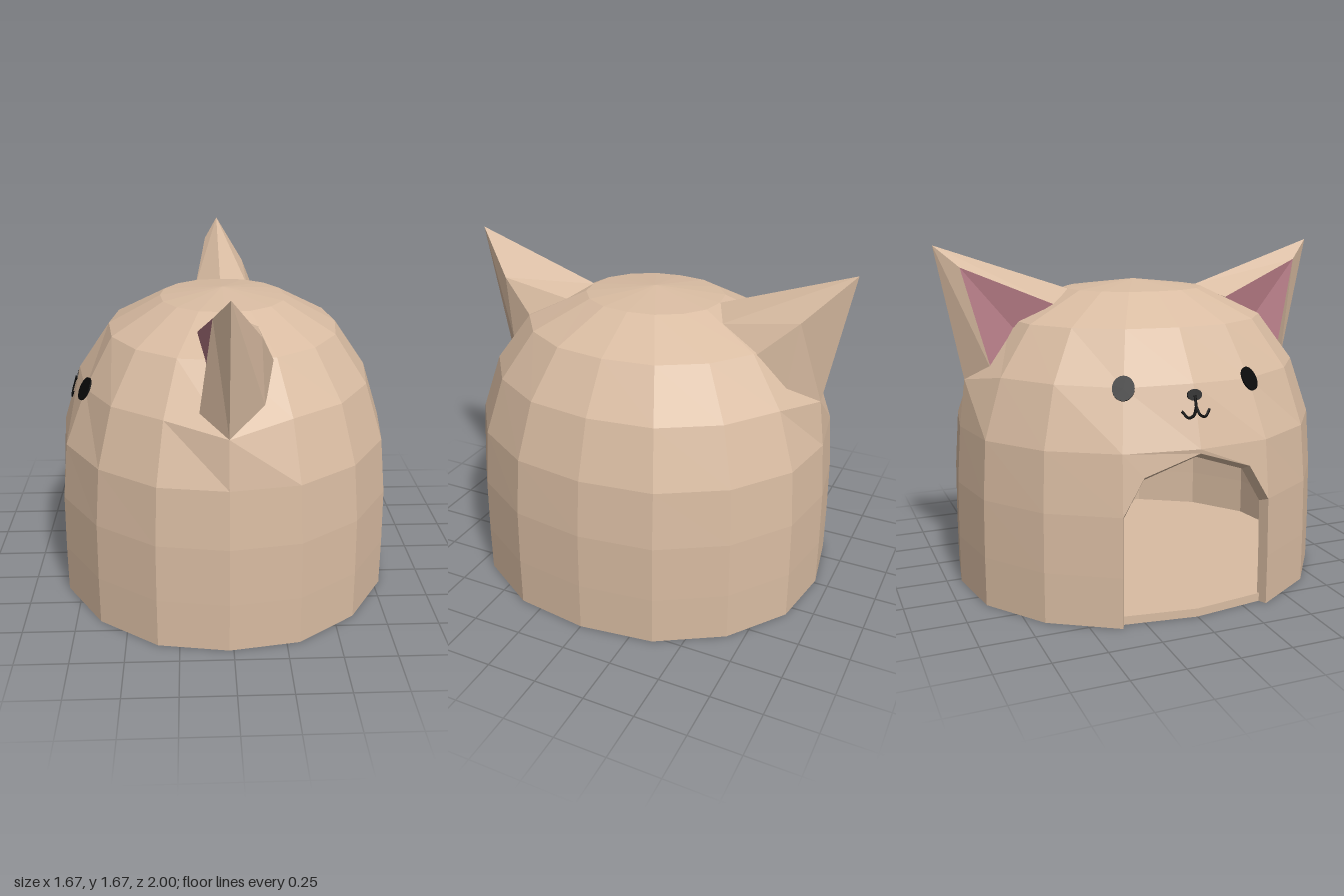
import * as THREE from 'three';

const CX = -0.02, N = 16;
// dome rings: height, radius along x, radius along z
const RINGS = [
  [0, 0.85, 0.93], [0.24, 0.85, 0.93], [0.52, 0.845, 0.925], [0.8, 0.817, 0.905],
  [1.08, 0.728, 0.81], [1.31, 0.57, 0.64], [1.45, 0.31, 0.345], [1.49, 0, 0],
];

const fur = new THREE.MeshStandardMaterial({ color: 0xd9bca2, side: THREE.DoubleSide, flatShading: true });
const pink = new THREE.MeshStandardMaterial({ color: 0xb27882, side: THREE.DoubleSide, flatShading: true });
const black = new THREE.MeshStandardMaterial({ color: 0x0a0a0a, side: THREE.DoubleSide });

// flat-shaded mesh from a list of convex polygons
function polyMesh(name, polys, material) {
  const pos = [];
  for (const p of polys)
    for (let k = 1; k < p.length - 1; k++) pos.push(...p[0], ...p[k], ...p[k + 1]);
  const g = new THREE.BufferGeometry();
  g.setAttribute('position', new THREE.Float32BufferAttribute(pos, 3));
  g.computeVertexNormals();
  const mesh = new THREE.Mesh(g, material);
  mesh.name = name;
  return mesh;
}

// dome vertex on ring i, column j
function domePoint(i, j) {
  j = (j + N) % N;
  const [y, rx, rz] = RINGS[i], a = (j / N) * Math.PI * 2;
  const side = j === 4 ? 1 : j === 12 ? -1 : 0;
  if (i === 4 && side) return [CX, 1.03, 0.875 * side];       // foot of each ear
  if (i === 4 && (j === 7 || j === 9)) return [-0.688, 1.07, j === 7 ? 0.31 : -0.31]; // eye spot
  const f = j % 4 ? 1.02 : 1;
  return [CX + rx * f * Math.cos(a), y, rz * f * Math.sin(a)];
}

const inner = ([x, y, z]) => [CX + (x - CX) * 0.94, y * 0.965, z * 0.94];

function shellPolys() {
  const polys = [];
  for (let i = 0; i < RINGS.length - 1; i++)
    for (let j = 0; j < N; j++) {
      if (i < 3 && (j === 7 || j === 8)) continue;            // doorway
      const q = [domePoint(i, j), domePoint(i + 1, j), domePoint(i + 1, j + 1)];
      if (i < RINGS.length - 2) q.push(domePoint(i, j + 1));
      else q.splice(2, 1, domePoint(i, j + 1));
      polys.push(q);
    }
  // wall above the arched doorway
  const top = [-0.834, 0.78, 0];
  for (const s of [1, -1]) {
    const j = 8 - s, shoulder = [-0.813, 0.69, 0.26 * s];
    const upper = [domePoint(3, 8), top, shoulder, domePoint(3, j)];
    const corner = [domePoint(3, j), shoulder, domePoint(2, j)];
    if (s < 0) { upper.reverse(); corner.reverse(); }
    polys.push(upper, corner);
  }
  return polys;
}

function rimPolys() {
  const polys = [];
  const strip = (a, b) => polys.push([a, b, inner(b), inner(a)]);
  // door reveal
  const edge = [domePoint(0, 7), domePoint(1, 7), domePoint(2, 7), [-0.813, 0.69, 0.26], [-0.834, 0.78, 0],
    [-0.813, 0.69, -0.26], domePoint(2, 9), domePoint(1, 9), domePoint(0, 9)];
  for (let k = 0; k < edge.length - 1; k++) strip(edge[k], edge[k + 1]);
  // wall underside
  for (let j = 0; j < N; j++) if (j !== 7 && j !== 8) strip(domePoint(0, j), domePoint(0, j + 1));
  return polys;
}

function floorPolys() {
  const ring = (y) => Array.from({ length: N }, (_, j) => {
    const [x, , z] = domePoint(0, j);
    return [CX + (x - CX) * 0.953, y, z * 0.953];
  });
  const lo = ring(0), hi = ring(0.04);
  const polys = [lo, [...hi].reverse()];
  for (let j = 0; j < N; j++) {
    const k = (j + 1) % N;
    polys.push([lo[j], hi[j], hi[k], lo[k]]);
  }
  return polys;
}

// ear on the +z side (s = 1) or mirrored (s = -1)
function makeEar(s) {
  const v = (x, y, z) => [x, y, z * s];
  const tip = v(CX, 1.67, 1), root = v(CX, 1.447, 0.34), foot = v(CX, 1.03, 0.875);
  const b1 = v(0.13, 1.4, 0.41), b2 = v(0.2, 1.27, 0.575), b3 = v(0.14, 1.14, 0.75), back = v(0.12, 1.46, 0.79);
  const f1 = v(-0.15, 1.39, 0.46), f2 = v(-0.15, 1.09, 0.77), apex = v(-0.09, 1.57, 0.89), hollow = v(-0.11, 1.28, 0.65);
  const orient = (polys) => (s > 0 ? polys : polys.map((p) => [...p].reverse()));
  const ear = new THREE.Group();
  ear.name = s > 0 ? 'frontSideEar' : 'backSideEar';
  ear.add(
    polyMesh('earOuter', orient([
      [root, tip, back, b1], [b1, back, b2], [b2, back, b3], [b3, back, tip, foot],
      [root, f1, apex, tip], [foot, tip, apex, f2],
    ]), fur),
    polyMesh('earInner', orient([[f1, hollow, apex], [hollow, f2, apex]]), pink),
  );
  return ear;
}

// thin disc facing along a normal
function makeDisc(name, center, normal, rx, ry) {
  const g = new THREE.CylinderGeometry(1, 1, 0.008, 24).rotateX(Math.PI / 2).scale(rx, ry, 1);
  const mesh = new THREE.Mesh(g, black);
  const n = new THREE.Vector3(...normal).normalize();
  mesh.position.set(...center).addScaledVector(n, 0.004);
  mesh.lookAt(mesh.position.clone().add(n));
  mesh.name = name;
  return mesh;
}

// stroke drawn on the face, from (y, z) points
function makeStroke(name, pts) {
  const path = new THREE.CatmullRomCurve3(pts.map(([y, z]) =>
    new THREE.Vector3(-0.751 - (1.08 - y) * 0.3 + 0.15 * Math.abs(z), y, z)));
  const mesh = new THREE.Mesh(new THREE.TubeGeometry(path, 14, 0.007, 6), black);
  mesh.name = name;
  return mesh;
}

export function createModel() {
  const model = new THREE.Group();
  model.name = 'petHouse';

  const outer = shellPolys();
  model.add(
    polyMesh('outerShell', outer, fur),
    polyMesh('innerShell', outer.map((p) => p.map(inner).reverse()), fur),
    polyMesh('doorRim', rimPolys(), fur),
    polyMesh('floor', floorPolys(), fur),
  );

  const face = new THREE.Group();
  face.name = 'face';
  for (const s of [1, -1]) {
    model.add(makeEar(s));
    face.add(makeDisc('eye', [-0.688, 1.068, 0.31 * s], [-0.8, 0.48, 0.38 * s], 0.05, 0.058));
    face.add(makeStroke('mouthCurve', [[0.98, 0], [0.945, 0.015], [0.935, 0.04], [0.965, 0.068]].map(([y, z]) => [y, z * s])));
  }
  face.add(makeStroke('mouthStem', [[1.03, 0], [0.98, 0]]));
  face.add(makeDisc('nose', [-0.757, 1.03, 0], [-0.95, 0.3, 0], 0.036, 0.026));
  model.add(face);
  return model;
}
